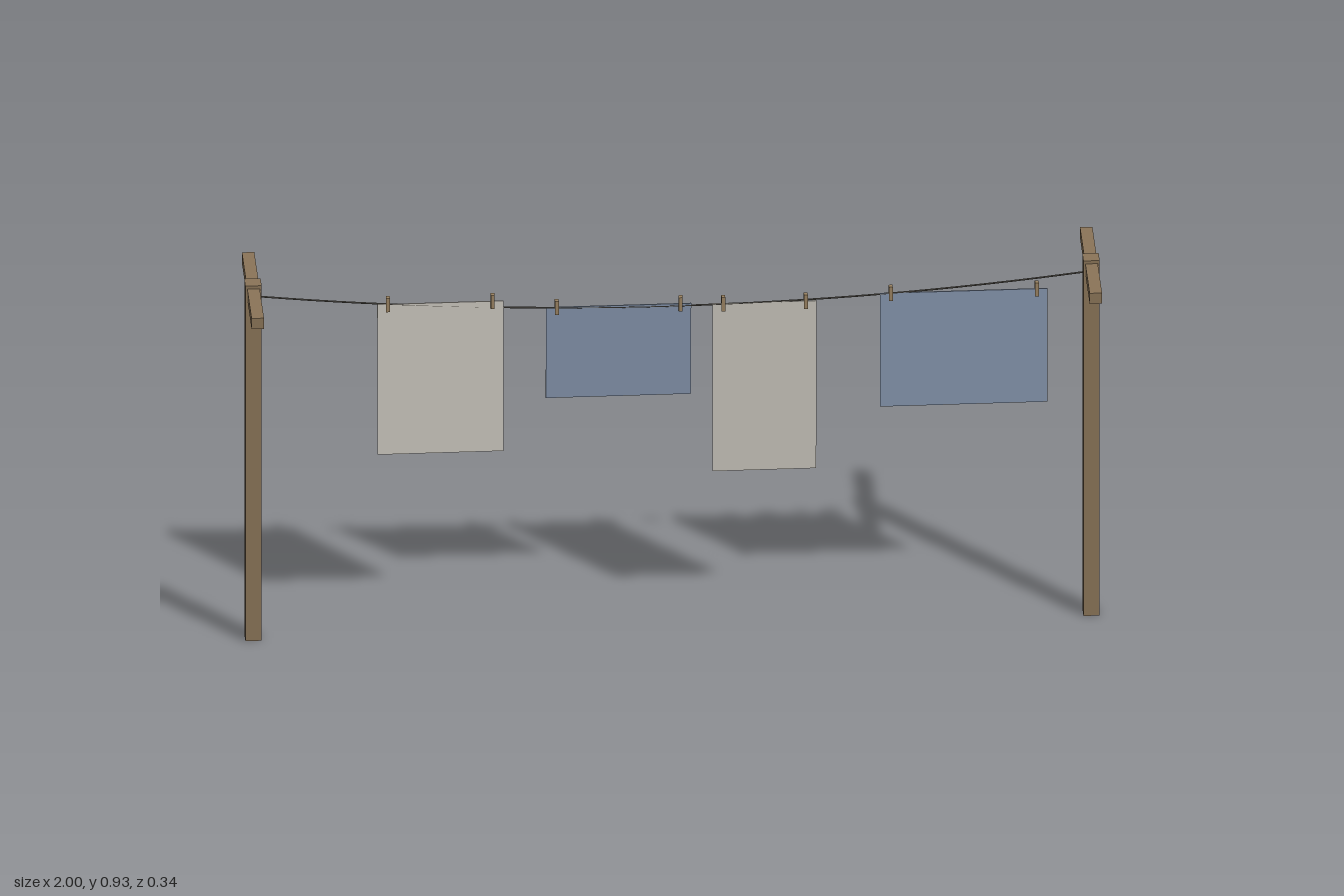
import * as THREE from 'three';

const material = (name, color, extra = {}) => {
  const m = new THREE.MeshStandardMaterial({ color, ...extra });
  m.name = name;
  return m;
};

export function createModel() {
  const model = new THREE.Group();
  model.name = 'clothesline';

  const wood = material('weathered wood', 0x8b7559);
  const pegWood = material('peg wood', 0x9c8462);
  const rope = material('dark rope', 0x5c5850);
  const linen = material('linen', 0xcac6bd);
  const blue = material('faded blue', 0x8696ae);

  const add = (parent, name, geometry, mat, x = 0, y = 0, z = 0) => {
    const mesh = new THREE.Mesh(geometry, mat);
    mesh.name = name;
    mesh.position.set(x, y, z);
    parent.add(mesh);
    return mesh;
  };

  // Two T-shaped posts
  for (const [side, s] of [['left', 1], ['right', -1]]) {
    const post = new THREE.Group();
    post.name = side + 'Post';
    post.position.x = s * 0.981;
    add(post, 'upright', new THREE.BoxGeometry(0.038, 0.93, 0.038), wood, 0, 0.465);
    add(post, 'crossbar', new THREE.BoxGeometry(0.029, 0.028, 0.342), wood, 0, 0.908);
    model.add(post);
  }

  // Sagging line, a shallow parabola between the posts
  const points = [];
  for (let i = 0; i <= 16; i++) {
    const t = i / 8 - 1;
    points.push(new THREE.Vector3(t * 0.975, 0.835 + 0.058 * t * t, 0));
  }
  const curve = new THREE.CatmullRomCurve3(points);
  add(model, 'line', new THREE.TubeGeometry(curve, 32, 0.002, 6), rope);

  // Hanging cloths: left edge, right edge, top, bottom, swing of the hem in z
  const cloths = [
    ['firstSheet', -0.69, -0.395, 0.862, 0.475, 0.012, linen],
    ['firstTowel', -0.295, 0.045, 0.841, 0.599, -0.01, blue],
    ['secondSheet', 0.095, 0.338, 0.838, 0.396, -0.007, linen],
    ['secondTowel', 0.487, 0.879, 0.852, 0.556, 0.001, blue],
  ];
  for (const [name, x0, x1, top, bottom, swing, mat] of cloths) {
    const width = x1 - x0, height = top - bottom;
    const group = new THREE.Group();
    group.name = name;
    group.position.set((x0 + x1) / 2, top, 0);
    const cloth = new THREE.BoxGeometry(width, height, 0.003);
    cloth.translate(0, -height / 2, 0);
    add(group, 'cloth', cloth, mat).rotation.x = -Math.atan2(swing, height);
    // Pegs near both top corners
    for (const s of [-1, 1]) {
      add(group, 'peg', new THREE.BoxGeometry(0.009, 0.036, 0.013), pegWood, s * (width / 2 - 0.025), 0);
    }
    model.add(group);
  }
  return model;
}
